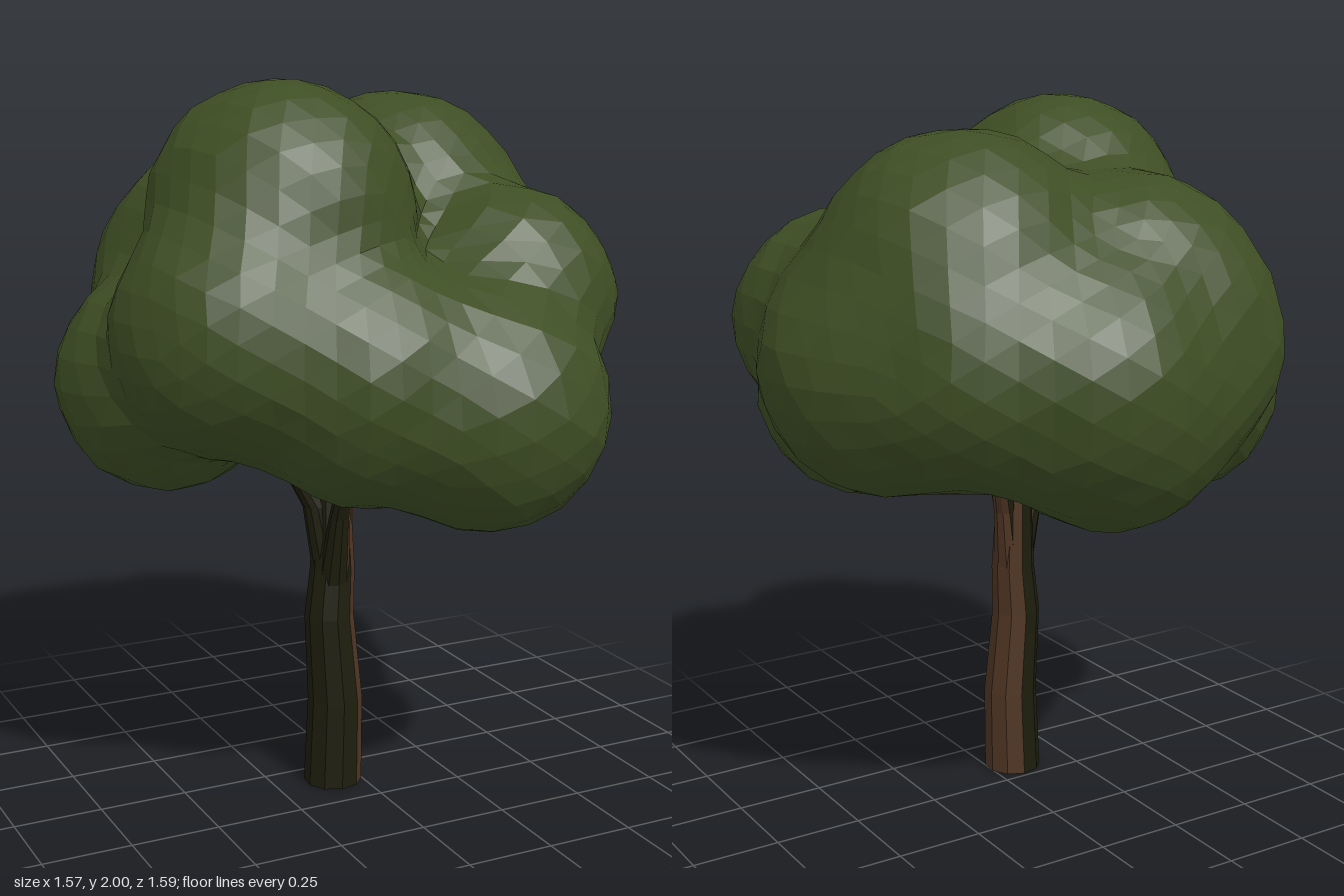
import * as THREE from 'three';

const mat = (name, color) => {
  const m = new THREE.MeshStandardMaterial({ color, flatShading: true });
  m.name = name;
  return m;
};

// Smooth union distance of several balls [x, y, z, r]
function distance(p, balls) {
  const k = 0.09;
  let d = 10;
  for (const [x, y, z, r] of balls) {
    const e = Math.hypot(p.x - x, p.y - y, p.z - z) - r;
    const h = Math.max(k - Math.abs(d - e), 0) / k;
    d = Math.min(d, e) - h * h * k * 0.25;
  }
  return d;
}

// Foliage: a faceted sphere shrunk onto its blended balls, with slight lumps
function foliage(name, center, balls, detail, material) {
  const geo = new THREE.IcosahedronGeometry(1, detail);
  const pos = geo.attributes.position;
  const c = new THREE.Vector3(...center), dir = new THREE.Vector3(), p = new THREE.Vector3();
  for (let i = 0; i < pos.count; i++) {
    dir.fromBufferAttribute(pos, i).normalize();
    let t = 1.4;
    for (let s = 0; s < 100; s++) {
      p.copy(c).addScaledVector(dir, t);
      const d = distance(p, balls);
      if (d < 0.0005) break;
      t -= d;
    }
    t += 0.008 * Math.sin(17 * p.x + 5 * p.y) * Math.sin(19 * p.y + 3) * Math.sin(18 * p.z + 1);
    p.copy(c).addScaledVector(dir, t);
    pos.setXYZ(i, p.x, p.y, p.z);
  }
  geo.computeVertexNormals();
  const mesh = new THREE.Mesh(geo, material);
  mesh.name = name;
  return mesh;
}

// Wood limb: horizontal rings [x, y, z, r]; the +x side is bark, the other side and ends are mossy
function limb(name, rings, materials) {
  const sides = 10, start = Math.PI / 6;
  const point = (j, i) => {
    const [x, y, z, r] = rings[j];
    const a = start + (i / sides) * Math.PI * 2;
    return [x + r * Math.sin(a), y, z + r * Math.cos(a)];
  };
  const bark = [], moss = [], last = rings.length - 1;
  for (let i = 0; i < sides; i++) {
    const out = i < 4 ? bark : moss;
    for (let j = 0; j < last; j++) {
      const a = point(j, i), b = point(j, i + 1), c = point(j + 1, i + 1), d = point(j + 1, i);
      out.push(...a, ...b, ...c, ...a, ...c, ...d);
    }
    moss.push(...rings[0].slice(0, 3), ...point(0, i + 1), ...point(0, i));
    moss.push(...rings[last].slice(0, 3), ...point(last, i), ...point(last, i + 1));
  }
  const geo = new THREE.BufferGeometry();
  geo.setAttribute('position', new THREE.Float32BufferAttribute([...bark, ...moss], 3));
  geo.addGroup(0, bark.length / 3, 0);
  geo.addGroup(bark.length / 3, moss.length / 3, 1);
  geo.computeVertexNormals();
  const mesh = new THREE.Mesh(geo, materials);
  mesh.name = name;
  return mesh;
}

export function createModel() {
  const tree = new THREE.Group();
  tree.name = 'tree';
  const leaf = mat('leaf green', 0x3e4e24);
  const wood = [mat('bark brown', 0x503624), mat('dark moss', 0x1d1d0d)];

  // Trunk and forked branches
  tree.add(limb('trunk', [
    [-0.078, 0, 0.095, 0.083], [-0.07, 0.25, 0.095, 0.078], [-0.085, 0.5, 0.088, 0.07],
    [-0.073, 0.64, 0.085, 0.063], [-0.07, 0.8, 0.075, 0.056], [-0.07, 1.05, 0.06, 0.042],
  ], wood));
  const branches = {
    frontBranch: [[-0.08, 0.6, 0.105, 0.045], [-0.085, 0.8, 0.155, 0.03], [-0.09, 1.02, 0.25, 0.025]],
    leftBranch: [[-0.06, 0.62, 0.08, 0.045], [-0.03, 0.82, 0.06, 0.032], [0.05, 1.1, -0.01, 0.025]],
    rightBranch: [[-0.09, 0.62, 0.085, 0.04], [-0.125, 0.82, 0.075, 0.032], [-0.24, 1.05, 0.03, 0.027]],
  };
  for (const [name, rings] of Object.entries(branches)) tree.add(limb(name, rings, wood));

  // Crown: one blended mass of lobes around a core
  tree.add(foliage('crown', [-0.03, 1.34, 0], [
    [0, 1.32, 0, 0.34],
    // front lobes
    [-0.24, 1.64, 0.12, 0.36], [-0.42, 1.36, 0.24, 0.335],
    [-0.12, 1.24, 0.37, 0.34], [0.19, 1.15, 0.465, 0.335], [0.38, 1.4, 0.24, 0.31],
    // left lobes
    [0.25, 1.56, -0.18, 0.39], [0.42, 1.35, -0.11, 0.36], [0.3, 1.36, -0.33, 0.32],
    // back lobes
    [-0.18, 1.48, -0.32, 0.35], [-0.25, 1.36, -0.35, 0.35],
    [0.05, 1.32, -0.45, 0.345], [-0.08, 1.21, -0.4, 0.32],
    // right lobe
    [-0.48, 1.18, -0.12, 0.31],
  ], 9, leaf));
  return tree;
}
